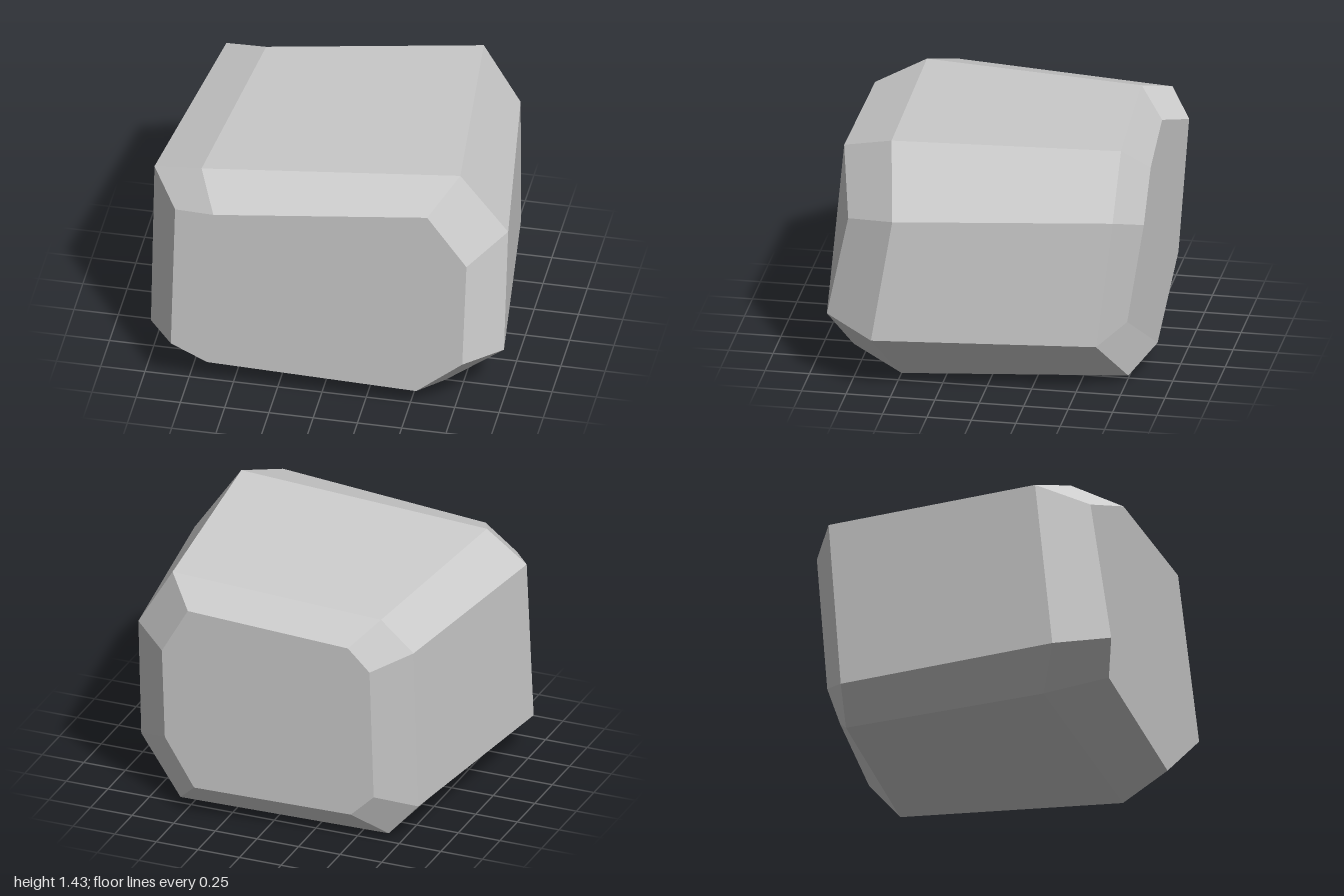
import * as THREE from 'three';

// Four octagonal cross-sections from front to back, each clockwise from the upper left corner
const RINGS = [
  [[-0.83, 1.13, 0.75], [-0.59, 1.21, 0.87], [0.61, 1.33, 0.83], [0.82, 0.98, 0.77],
    [0.82, 0.4, 0.89], [0.54, 0.11, 0.79], [-0.64, 0.15, 0.8], [-0.83, 0.3, 0.87]],
  [[-1, 1.21, 0.48], [-0.71, 1.32, 0.6], [0.74, 1.43, 0.54], [1, 1.05, 0.49],
    [1, 0.33, 0.61], [0.65, 0, 0.5], [-0.77, 0.04, 0.46], [-1, 0.23, 0.58]],
  [[-0.84, 1.2, -0.76], [-0.59, 1.3, -0.63], [0.62, 1.41, -0.73], [0.83, 1.06, -0.72],
    [0.85, 0.32, -0.63], [0.56, 0.04, -0.76], [-0.67, 0.03, -0.71], [-0.84, 0.22, -0.69]],
  [[-0.63, 1.1, -0.89], [-0.45, 1.16, -0.77], [0.47, 1.26, -0.87], [0.63, 0.98, -0.86],
    [0.65, 0.4, -0.77], [0.42, 0.19, -0.9], [-0.48, 0.15, -0.8], [-0.63, 0.3, -0.83]],
].map(ring => ring.map(p => new THREE.Vector3(...p)));

// Average normal of a slightly bent polygon
function faceNormal(corners) {
  const n = new THREE.Vector3();
  corners.forEach((p, i) => n.add(p.clone().cross(corners[(i + 1) % corners.length])));
  return n.normalize();
}

function buildRock() {
  const positions = [], normals = [];
  // Fan of triangles sharing one flat normal
  const addFace = (corners, normal = faceNormal(corners)) => {
    for (let i = 1; i < corners.length - 1; i++) {
      for (const p of [corners[0], corners[i], corners[i + 1]]) {
        positions.push(p.x, p.y, p.z);
        normals.push(normal.x, normal.y, normal.z);
      }
    }
  };

  // Chamfers and sides between neighbouring cross-sections
  for (let r = 0; r < 3; r++) {
    const a = RINGS[r], b = RINGS[r + 1];
    for (let i = 0; i < 8; i++) {
      const j = (i + 1) % 8;
      addFace([a[i], a[j], b[j], b[i]]);
    }
  }

  // Front and back faces
  const front = RINGS[0], back = RINGS[3];
  const frontNormal = faceNormal([...front].reverse());
  const backNormal = faceNormal(back);
  for (const f of [[0, 7, 1], [2, 4, 3], [1, 7, 4, 2], [7, 6, 5, 4]]) {
    addFace(f.map(i => front[i]), frontNormal);
  }
  for (const f of [[0, 1, 2, 3], [0, 3, 4, 7], [7, 4, 5, 6]]) {
    addFace(f.map(i => back[i]), backNormal);
  }

  const geometry = new THREE.BufferGeometry();
  geometry.setAttribute('position', new THREE.Float32BufferAttribute(positions, 3));
  geometry.setAttribute('normal', new THREE.Float32BufferAttribute(normals, 3));
  return geometry;
}

export function createModel() {
  const stone = new THREE.MeshStandardMaterial({ color: 0xcccccc });
  stone.name = 'stone grey';

  const rock = new THREE.Mesh(buildRock(), stone);
  rock.name = 'rock';

  const model = new THREE.Group();
  model.name = 'chamferedRock';
  model.add(rock);
  return model;
}
